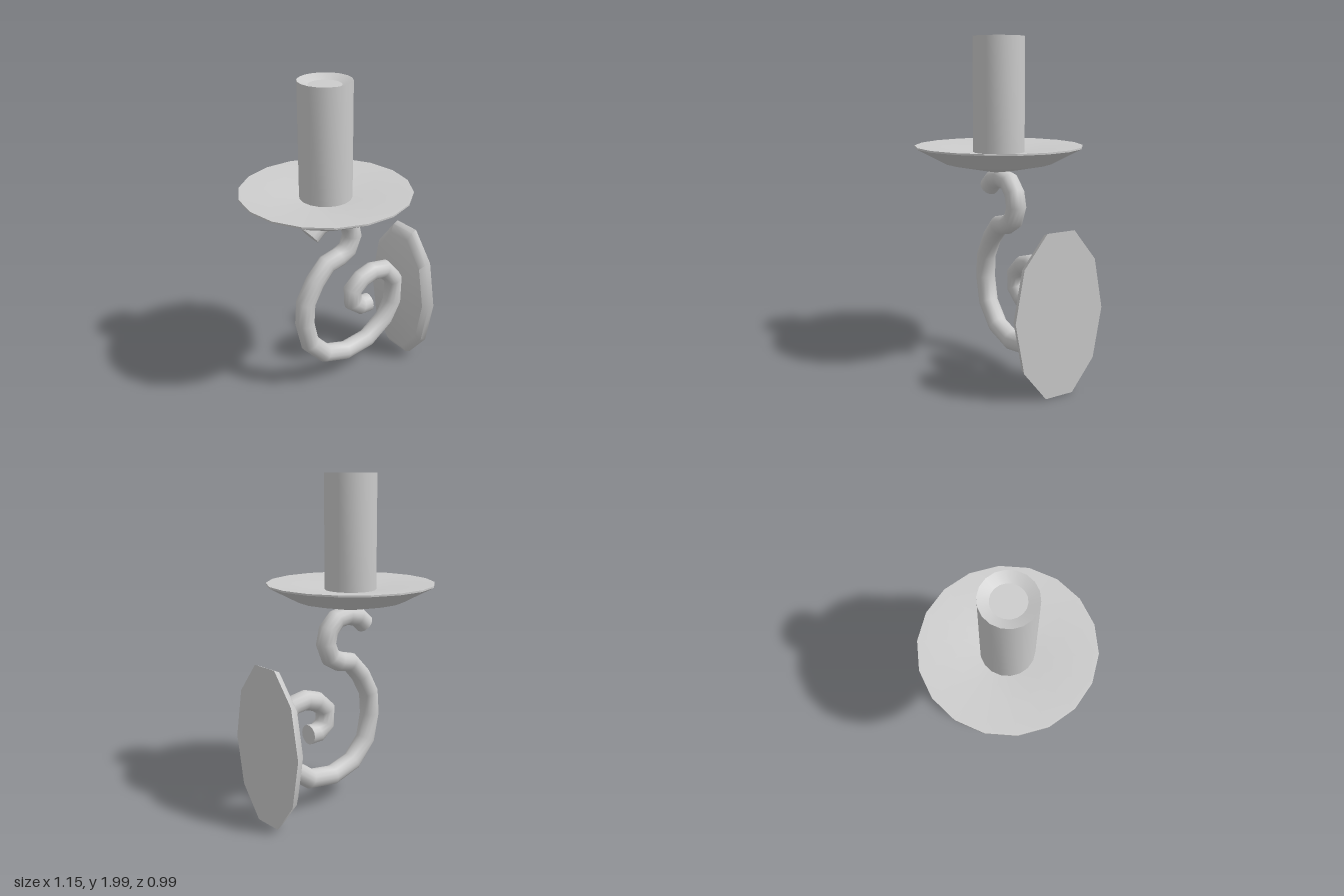
import * as THREE from 'three';
import { toCreasedNormals } from 'three/addons/utils/BufferGeometryUtils.js';

const grey = new THREE.MeshStandardMaterial({ color: 0xcccccc });
const facetedGrey = new THREE.MeshStandardMaterial({ color: 0xcccccc, flatShading: true });

function lathe(profile, sides, phiStart = 0) {
  const points = profile.map(([r, y]) => new THREE.Vector2(r, y));
  return new THREE.LatheGeometry(points, sides, phiStart);
}

function addMesh(parent, name, geometry, material = grey) {
  const mesh = new THREE.Mesh(geometry, material);
  mesh.name = name;
  parent.add(mesh);
  return mesh;
}

export function createModel() {
  const model = new THREE.Group();
  model.name = 'wallCandleHolder';

  // Drip dish and candle share one axis
  const holder = new THREE.Group();
  holder.name = 'candleAndDish';
  holder.position.x = -0.07;
  model.add(holder);

  const dishUnder = lathe([[0, 1.2], [0.05, 1.2], [0.325, 1.255], [0.505, 1.35], [0.505, 1.36]], 18, Math.PI / 2);
  addMesh(holder, 'dishUnderside', dishUnder, facetedGrey);

  const dishTop = lathe([[0.505, 1.36], [0.495, 1.36], [0.155, 1.32]], 18, Math.PI / 2);
  addMesh(holder, 'dishTop', toCreasedNormals(dishTop, 0.7));

  // Candle with a shallow hollow in the top
  const candle = lathe([[0.155, 1.3], [0.155, 2], [0.095, 1.975], [0, 1.975]], 18, Math.PI / 2);
  addMesh(holder, 'candle', toCreasedNormals(candle, 0.38));

  // Scrolled arm: an S-curve that ends in a spiral against the wall plate
  const path = [
    [-0.185, 1.095], [-0.125, 1.145], [-0.04, 1.165], [0.045, 1.15], [0.105, 1.09], [0.125, 1.01],
    [0.09, 0.925], [0.025, 0.89], [-0.065, 0.87], [-0.155, 0.775], [-0.225, 0.65], [-0.235, 0.51],
    [-0.2, 0.35], [-0.085, 0.225], [0.08, 0.175], [0.26, 0.2], [0.405, 0.305], [0.47, 0.42],
    [0.475, 0.585], [0.39, 0.685], [0.29, 0.7], [0.205, 0.675], [0.135, 0.615], [0.14, 0.525],
    [0.2, 0.48], [0.265, 0.48],
  ].map(([x, y]) => new THREE.Vector3(x, y, 0));
  const curve = new THREE.CatmullRomCurve3(path);
  curve.getUtoTmapping = (u) => u; // one ring exactly on each path point
  addMesh(model, 'scrollArm', new THREE.TubeGeometry(curve, path.length - 1, 0.06, 14));

  // Flat caps on both ends of the arm
  for (const [t, sign] of [[0, -1], [1, 1]]) {
    const cap = addMesh(model, 'armEndCap', new THREE.CircleGeometry(0.06, 14));
    cap.position.copy(curve.getPoint(t));
    cap.quaternion.setFromUnitVectors(new THREE.Vector3(0, 0, 1), curve.getTangent(t).multiplyScalar(sign));
  }

  // Ten-sided oval wall plate, bevelled towards the arm
  const plate = lathe([[0, 0], [1, 0], [0.97, 0.035], [0.87, 0.065], [0, 0.065]], 10);
  plate.scale(0.494, 1, 0.29);
  plate.rotateZ(Math.PI / 2);
  plate.translate(0.575, 0.475, 0);
  addMesh(model, 'wallPlate', toCreasedNormals(plate, 0.7));

  return model;
}
